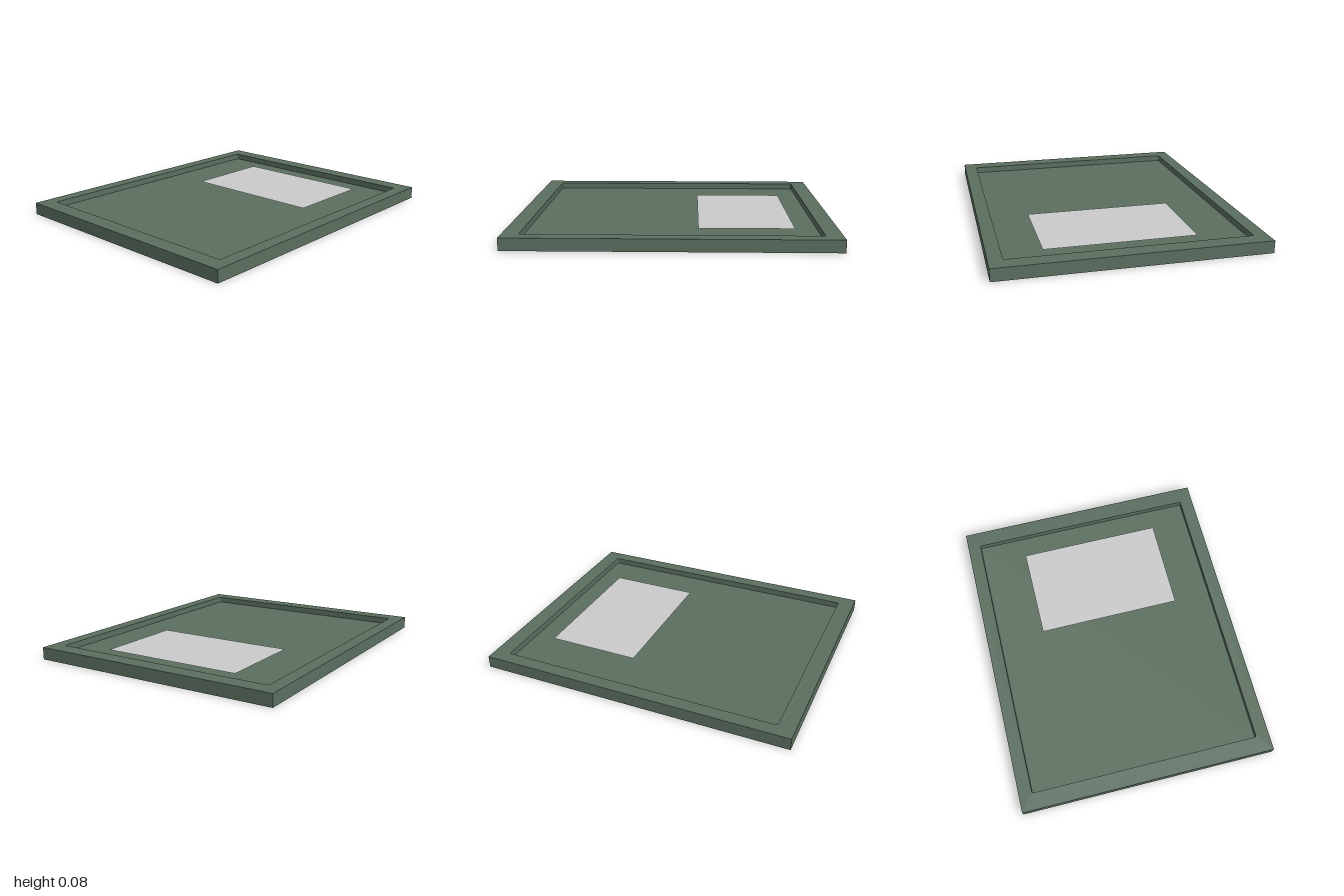
import * as THREE from 'three';

const W = 2, D = 1.65, H = 0.078;      // overall tray
const FLOOR = 0.038;                   // height of the recessed floor
const INNER_W = 1.79, INNER_D = 1.48;  // recess opening

// Rectangle outline with slightly rounded corners
function roundedRect(path, w, d, r) {
  const x = w / 2, y = d / 2;
  path.moveTo(-x + r, -y);
  path.lineTo(x - r, -y);
  path.quadraticCurveTo(x, -y, x, -y + r);
  path.lineTo(x, y - r);
  path.quadraticCurveTo(x, y, x - r, y);
  path.lineTo(-x + r, y);
  path.quadraticCurveTo(-x, y, -x, y - r);
  path.lineTo(-x, -y + r);
  path.quadraticCurveTo(-x, -y, -x + r, -y);
  return path;
}

// Lays a shape flat and extrudes it upward from the ground
function slab(shape, height) {
  return new THREE.ExtrudeGeometry(shape, { depth: height, bevelEnabled: false, curveSegments: 4 })
    .rotateX(-Math.PI / 2);
}

export function createModel() {
  const group = new THREE.Group();
  const green = new THREE.MeshStandardMaterial({ color: 0x5b6f60 });
  const grey = new THREE.MeshStandardMaterial({ color: 0xcccccc, side: THREE.DoubleSide });

  const add = (name, geometry, material) => {
    const mesh = new THREE.Mesh(geometry, material);
    mesh.name = name;
    group.add(mesh);
    return mesh;
  };

  // Raised border around the recess
  const outline = new THREE.Shape([[-1, -1], [1, -1], [1, 1], [-1, 1]]
    .map(([sx, sy]) => new THREE.Vector2(sx * W / 2, sy * D / 2)));
  outline.holes.push(roundedRect(new THREE.Path(), INNER_W, INNER_D, 0.012));
  add('rim', slab(outline, H), green);

  // Floor of the recess, closing the underside
  add('floor', slab(roundedRect(new THREE.Shape(), INNER_W, INNER_D, 0.012), FLOOR), green);

  // Thin sheet just above the floor
  const sheet = add('sheet', new THREE.PlaneGeometry(0.595, 0.94).rotateX(-Math.PI / 2), grey);
  sheet.position.set(0.457, 0.053, 0.027);

  return group;
}
